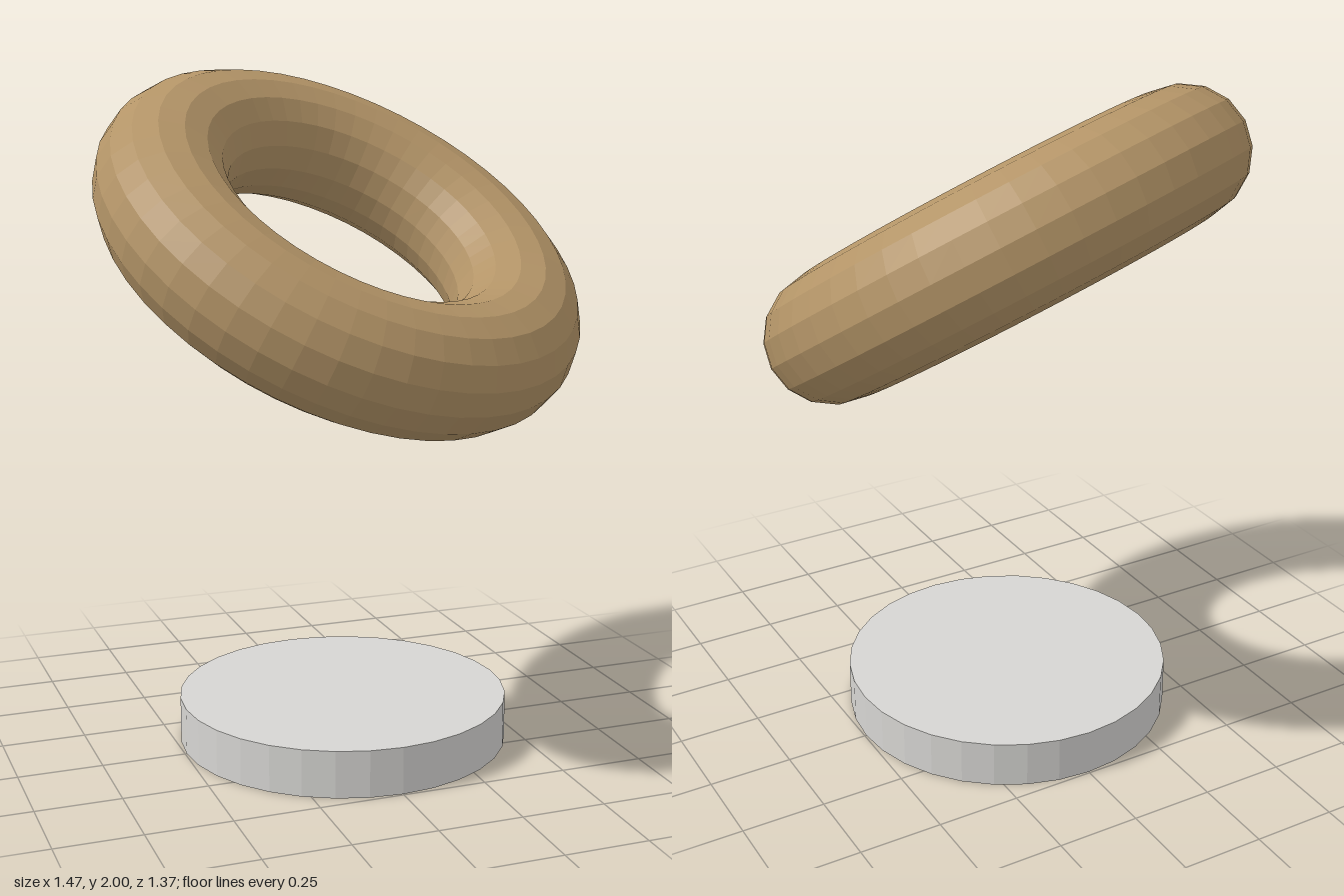
import * as THREE from 'three';

export function createModel() {
  const group = new THREE.Group();
  const tan = new THREE.MeshStandardMaterial({ color: 0xb39467 });
  tan.name = 'tan';
  tan.flatShading = true;
  const paleGrey = new THREE.MeshStandardMaterial({ color: 0xd6d5d2 });
  paleGrey.name = 'pale grey';
  paleGrey.flatShading = true;

  // Round base disc standing on the ground
  const baseHeight = 0.14;
  const base = new THREE.Mesh(new THREE.CylinderGeometry(0.495, 0.495, baseHeight, 32), paleGrey);
  base.name = 'baseDisc';
  base.position.y = baseHeight / 2;
  group.add(base);

  // Floating ring, laid flat and then tipped forward and to its left
  const ringGeometry = new THREE.TorusGeometry(0.564, 0.19, 16, 48);
  ringGeometry.rotateX(Math.PI / 2);
  const ring = new THREE.Mesh(ringGeometry, tan);
  ring.name = 'floatingRing';
  ring.position.y = 1.502;
  ring.rotation.set(THREE.MathUtils.degToRad(30), 0, THREE.MathUtils.degToRad(-15));
  group.add(ring);

  return group;
}
